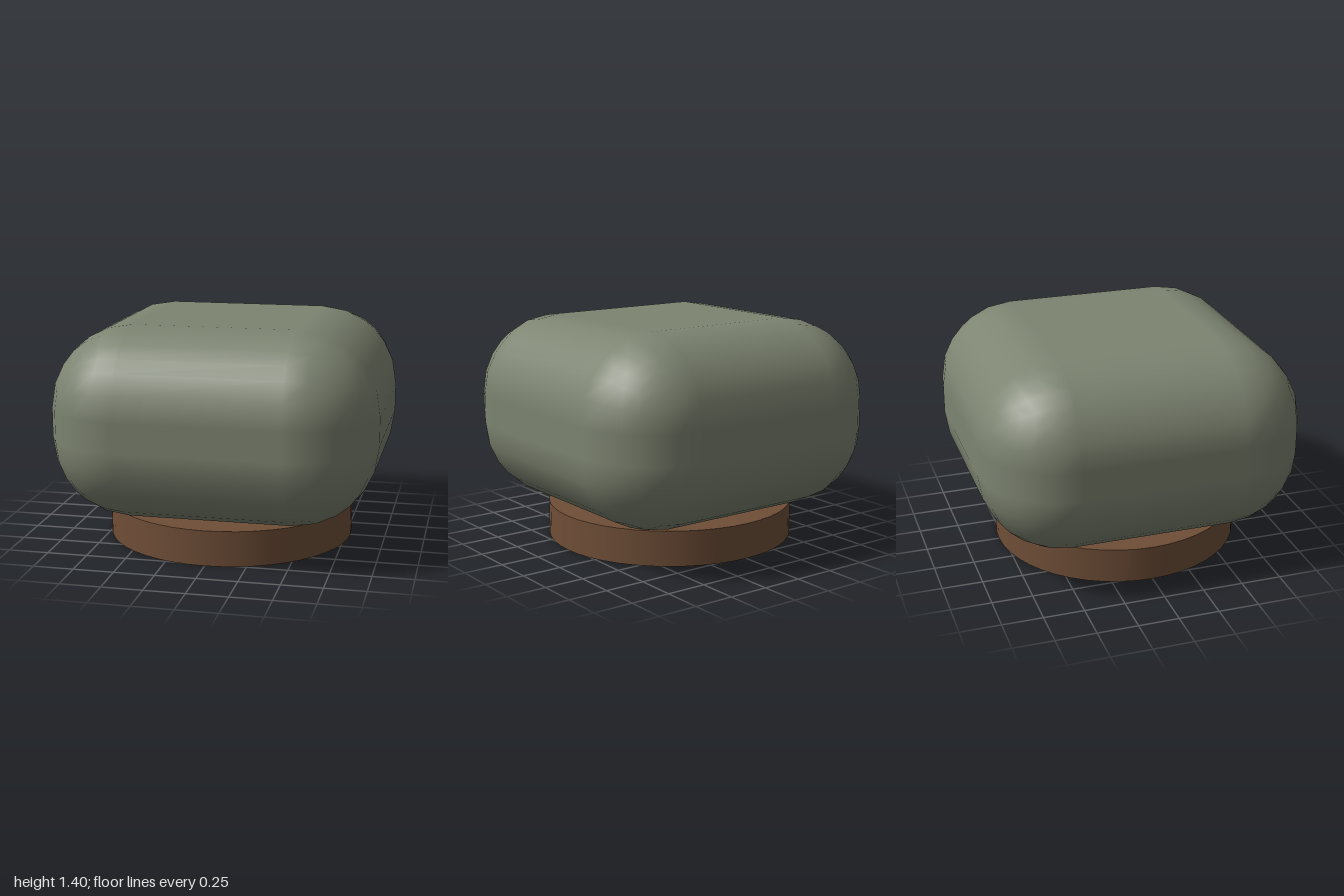
import * as THREE from 'three';
import { RoundedBoxGeometry } from 'three/addons/geometries/RoundedBoxGeometry.js';

export function createModel() {
  const model = new THREE.Group();
  const add = (name, geometry, color, y) => {
    const mesh = new THREE.Mesh(geometry, new THREE.MeshStandardMaterial({ color }));
    mesh.name = name;
    mesh.position.y = y;
    model.add(mesh);
  };

  // Round plinth under the seat
  const baseHeight = 0.22;
  add('base', new THREE.CylinderGeometry(0.78, 0.78, baseHeight, 48), 0x6f4e37, baseHeight / 2);

  // Soft, heavily rounded cushion resting on the plinth
  const cushionHeight = 1.18;
  add('cushion', new RoundedBoxGeometry(2, cushionHeight, 2, 3, 0.5), 0x7d8471, baseHeight + cushionHeight / 2);

  return model;
}
